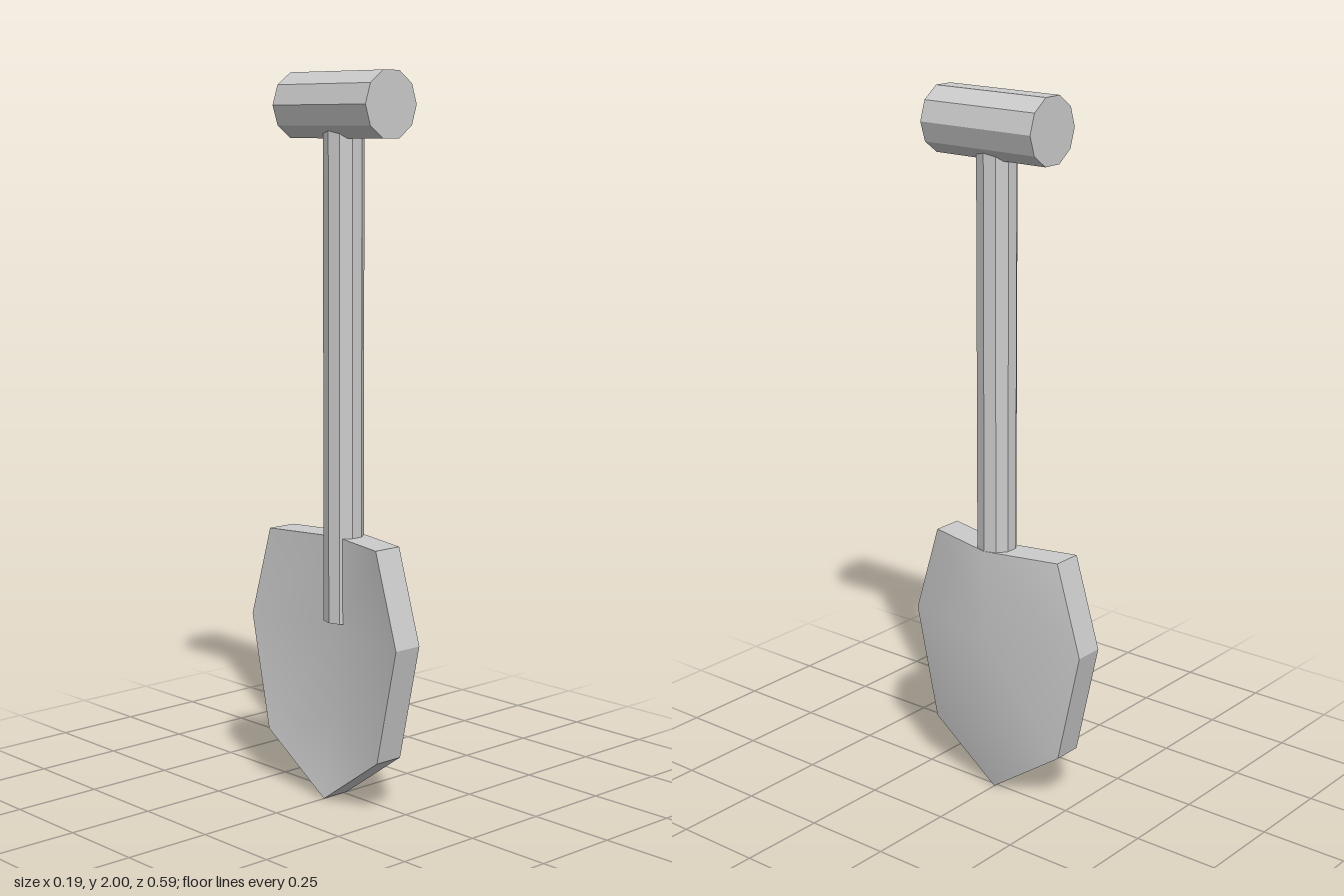
import * as THREE from 'three';

const grey = (opts = {}) => new THREE.MeshStandardMaterial({ color: 0xcccccc, ...opts });

// Ten-sided rod with a corner on the +x axis
function rod(name, radius, length) {
  const geo = new THREE.CylinderGeometry(radius, radius, length, 10, 1, false, Math.PI / 2);
  const mesh = new THREE.Mesh(geo, grey({ flatShading: true }));
  mesh.name = name;
  return mesh;
}

// Blade: a shallow V-shaped sheet bowed towards +x, running to a pointed tip
function bladeGeometry() {
  const thickness = 0.087;
  // edge x, edge y, half width, ridge x, ridge y
  const rows = [
    [0.004, 0.74, 0.215, 0.057, 0.74],
    [0.004, 0.48, 0.294, 0.058, 0.48],
    [0.003, 0.155, 0.223, 0.056, 0.22],
  ];
  const front = [];
  for (const [ex, ey, w, rx, ry] of rows) front.push([ex, ey, w], [rx, ry, 0], [ex, ey, -w]);
  front.push([0.012, 0, 0]);
  const back = front.map(([x, y, z]) => [x - thickness, y, z]);
  const n = front.length;
  const pos = [...front, ...back].flat();
  const index = [];
  const face = (a, b, c) => index.push(a, b, c, a + n, c + n, b + n);

  // Smooth front and back faces
  for (let r = 0; r < 2; r++) {
    for (let c = 0; c < 2; c++) {
      const a = r * 3 + c;
      face(a, a + 3, a + 4);
      face(a, a + 4, a + 1);
    }
  }
  face(6, 9, 7);
  face(7, 9, 8);

  // Flat rim, with its own vertices
  const loop = [0, 3, 6, 9, 8, 5, 2, 1];
  loop.forEach((a, i) => {
    const b = loop[(i + 1) % loop.length];
    const k = pos.length / 3;
    pos.push(...front[a], ...back[a], ...back[b], ...front[b]);
    index.push(k, k + 1, k + 2, k, k + 2, k + 3);
  });

  const geo = new THREE.BufferGeometry();
  geo.setAttribute('position', new THREE.Float32BufferAttribute(pos, 3));
  geo.setIndex(index);
  geo.computeVertexNormals();
  return geo;
}

export function createModel() {
  const shovel = new THREE.Group();
  shovel.name = 'shovel';

  // Cross grip along z
  const grip = rod('grip', 0.093, 0.366);
  grip.rotation.x = Math.PI / 2;
  grip.position.y = 1.9115;

  // Shaft, running from inside the grip down the hollow of the blade
  const shaft = rod('shaft', 0.056, 1.4);
  shaft.position.y = 1.2;

  const blade = new THREE.Mesh(bladeGeometry(), grey());
  blade.name = 'blade';

  shovel.add(grip, shaft, blade);
  return shovel;
}
